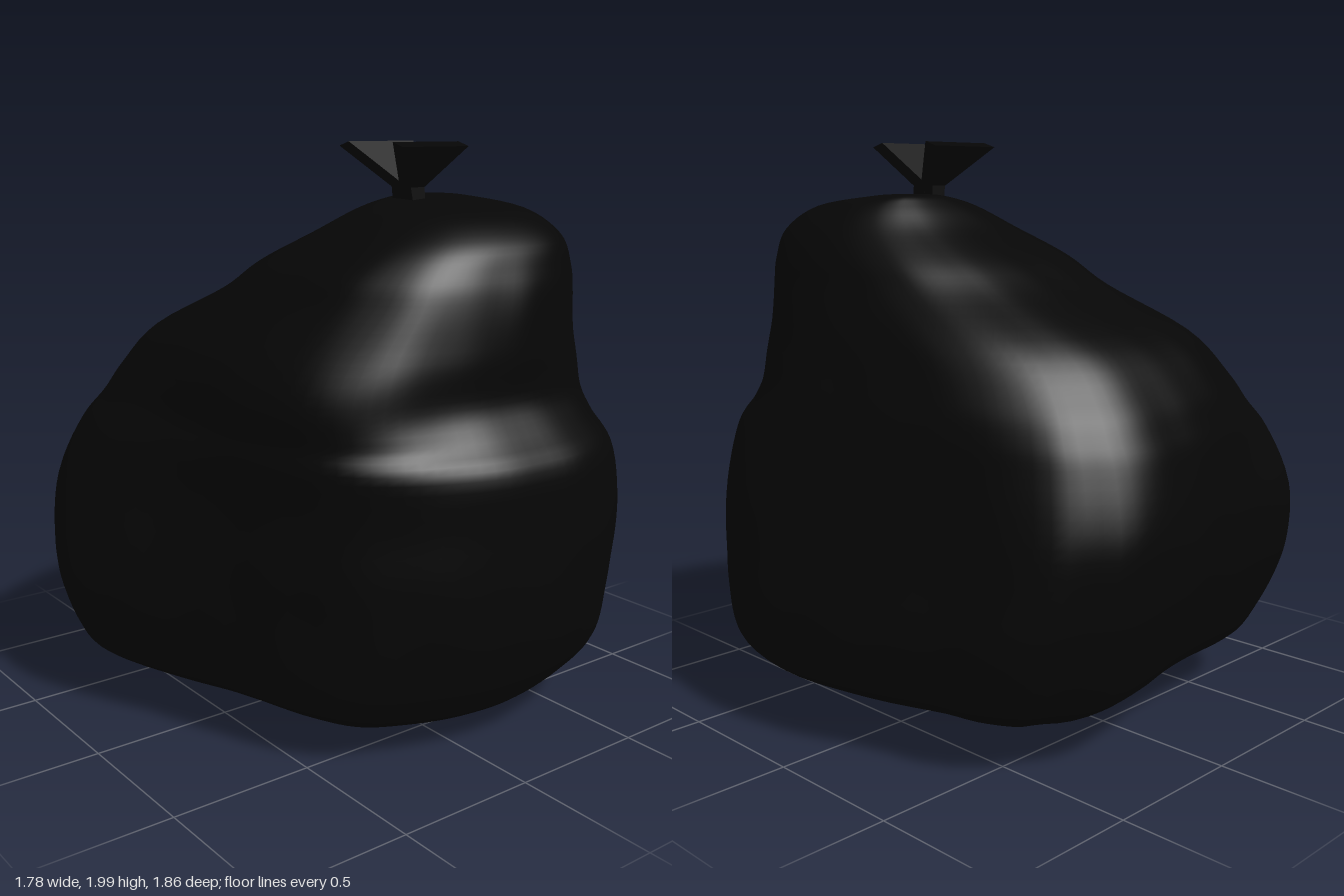
import * as THREE from 'three';

const { smoothstep, lerp, mapLinear, degToRad } = THREE.MathUtils;

// Skin closed rings (clockwise from above, listed bottom to top) and close both ends.
function loft(rings) {
  const n = rings[0].length, pos = [], idx = [];
  rings.forEach(r => r.forEach(p => pos.push(...p)));
  for (let i = 0; i < rings.length - 1; i++) {
    for (let j = 0; j < n; j++) {
      const a = i * n + j, b = i * n + (j + 1) % n;
      idx.push(a, a + n, b, b, a + n, b + n);
    }
  }
  const last = (rings.length - 1) * n;
  for (let j = 1; j < n - 1; j++) {
    idx.push(0, j, j + 1);
    idx.push(last, last + j + 1, last + j);
  }
  const g = new THREE.BufferGeometry();
  g.setAttribute('position', new THREE.Float32BufferAttribute(pos, 3));
  g.setIndex(idx);
  g.computeVertexNormals();
  return g;
}

// Plan outline of the sack at its widest: [x, z]
const OUTLINE = [
  [-0.89, -0.45], [-0.86, -0.6], [-0.79, -0.73], [-0.68, -0.8], [-0.4, -0.82], [-0.15, -0.86],
  [0.05, -0.91], [0.3, -0.935], [0.41, -0.91], [0.49, -0.85], [0.58, -0.8], [0.67, -0.64],
  [0.71, -0.46], [0.8, -0.2], [0.86, 0.05], [0.89, 0.3], [0.84, 0.55], [0.72, 0.74],
  [0.55, 0.86], [0.33, 0.92], [0.15, 0.93], [-0.05, 0.9], [-0.25, 0.83], [-0.47, 0.7],
  [-0.6, 0.47], [-0.67, 0.22], [-0.74, 0], [-0.83, -0.22],
];

// Extents by height: [y, xMin, xMax, zMin, zMax]
const LEVELS = [
  [0.006, -0.02, 0.1, -0.1, 0.02], [0.014, -0.12, 0.17, -0.24, 0.14], [0.03, -0.38, 0.32, -0.38, 0.45],
  [0.1, -0.58, 0.6, -0.56, 0.68], [0.2, -0.78, 0.79, -0.73, 0.79],
  [0.3, -0.85, 0.87, -0.8, 0.85], [0.45, -0.89, 0.89, -0.865, 0.9],
  [0.6, -0.88, 0.875, -0.91, 0.92], [0.8, -0.83, 0.85, -0.935, 0.925],
  [1.0, -0.75, 0.8, -0.9, 0.92], [1.1, -0.68, 0.77, -0.86, 0.84],
  [1.2, -0.64, 0.74, -0.8, 0.785], [1.35, -0.58, 0.69, -0.66, 0.795],
  [1.5, -0.45, 0.635, -0.37, 0.79], [1.6, -0.37, 0.61, -0.21, 0.765],
  [1.7, -0.22, 0.56, -0.03, 0.71], [1.78, -0.05, 0.48, 0.07, 0.56],
  [1.815, 0.12, 0.38, 0.12, 0.3], [1.822, 0.22, 0.28, 0.18, 0.22],
];

// Fuller (+) or slacker (-) corners: [angle from +x towards +z, height, spread in height, amount]
const BULGES = [
  [140, 1.2, 0.14, 0.1], [140, 0.48, 0.2, -0.06],
  [40, 1.25, 0.12, 0.04], [40, 0.45, 0.18, -0.04],
  [225, 1.5, 0.15, -0.04],
].map(([a, ...rest]) => [degToRad(a), ...rest]);
const bell = v => Math.exp(-v * v);

function bulge(t, y) {
  return BULGES.reduce((sum, [a, h, spread, amount]) => {
    const turn = Math.atan2(Math.sin(t - a), Math.cos(t - a));
    return sum + amount * bell((y - h) / spread) * bell(turn / 0.5);
  }, 1);
}

function sackGeometry() {
  const curve = f => new THREE.CatmullRomCurve3(LEVELS.map(f), false, 'catmullrom', 0.5);
  const xs = curve(l => new THREE.Vector3(l[1], l[0], l[2]));
  const zs = curve(l => new THREE.Vector3(l[3], l[0], l[4]));
  const plan = new THREE.CatmullRomCurve3(
    OUTLINE.map(([x, z]) => new THREE.Vector3(x / 0.89, 0, z / 0.93)), true).getSpacedPoints(108).slice(0, -1);
  const rings = [], steps = 90;
  for (let i = 0; i <= steps; i++) {
    const ex = xs.getPoint(i / steps), ez = zs.getPoint(i / steps), y = ex.y;
    // The section turns from the lopsided outline to a rounded square higher up
    const blend = 0.75 * smoothstep(y, 0.75, 1.35);
    const fade = smoothstep(y, 0.05, 0.4) * (1 - smoothstep(y, 1.5, 1.75));
    const pts = plan.map(p => {
      const t = Math.atan2(p.z, p.x), c = Math.cos(t), s = Math.sin(t), e = 2.4;
      const r = Math.pow(Math.abs(c) ** e + Math.abs(s) ** e, -1 / e);
      // Soft creases in the plastic
      const crease = 0.004 * fade * (Math.sin(9 * t + 5 * y) + 0.6 * Math.sin(17 * t - 7 * y));
      const k = bulge(t, y) + crease;
      return [lerp(p.x, c * r, blend) * k, lerp(p.z, s * r, blend) * k];
    });
    const [x0, x1, z0, z1] = [0, 1].flatMap(k =>
      [Math.min(...pts.map(p => p[k])), Math.max(...pts.map(p => p[k]))]);
    rings.push(pts.map(([px, pz]) => [mapLinear(px, x0, x1, ex.x, ex.z), y, mapLinear(pz, z0, z1, ez.x, ez.z)]));
  }
  return loft(rings);
}

// One flared end of the tied neck; side is +1 for the front and -1 for the back
function knotEnd(side) {
  const ring = (x0, x1, zIn, zOut, yIn, yOut) => {
    const [a, b, ya, yb] = side > 0 ? [zIn, zOut, yIn, yOut] : [-zOut, -zIn, yOut, yIn];
    return [[x0, ya, a], [x1, ya, a], [x1, yb, b], [x0, yb, b]];
  };
  const g = loft([
    ring(0.1, 0.15, -0.01, 0.055, 1.76, 1.76),
    ring(0.085, 0.145, -0.01, 0.05, 1.86, 1.85),
    ring(-0.05, 0.235, 0.115, 0.165, 2.0, 1.985),
  ]).toNonIndexed();
  g.computeVertexNormals();
  return g;
}

export function createModel() {
  const model = new THREE.Group();
  const plastic = new THREE.MeshStandardMaterial({ color: 0x060606 });
  plastic.name = 'blackPlastic';

  const sack = new THREE.Mesh(sackGeometry(), plastic);
  sack.name = 'sack';
  model.add(sack);

  const knot = new THREE.Group();
  knot.name = 'knot';
  for (const side of [1, -1]) {
    const end = new THREE.Mesh(knotEnd(side), plastic);
    end.name = side > 0 ? 'frontKnotEnd' : 'backKnotEnd';
    knot.add(end);
  }
  knot.position.z = 0.25;
  model.add(knot);
  return model;
}
